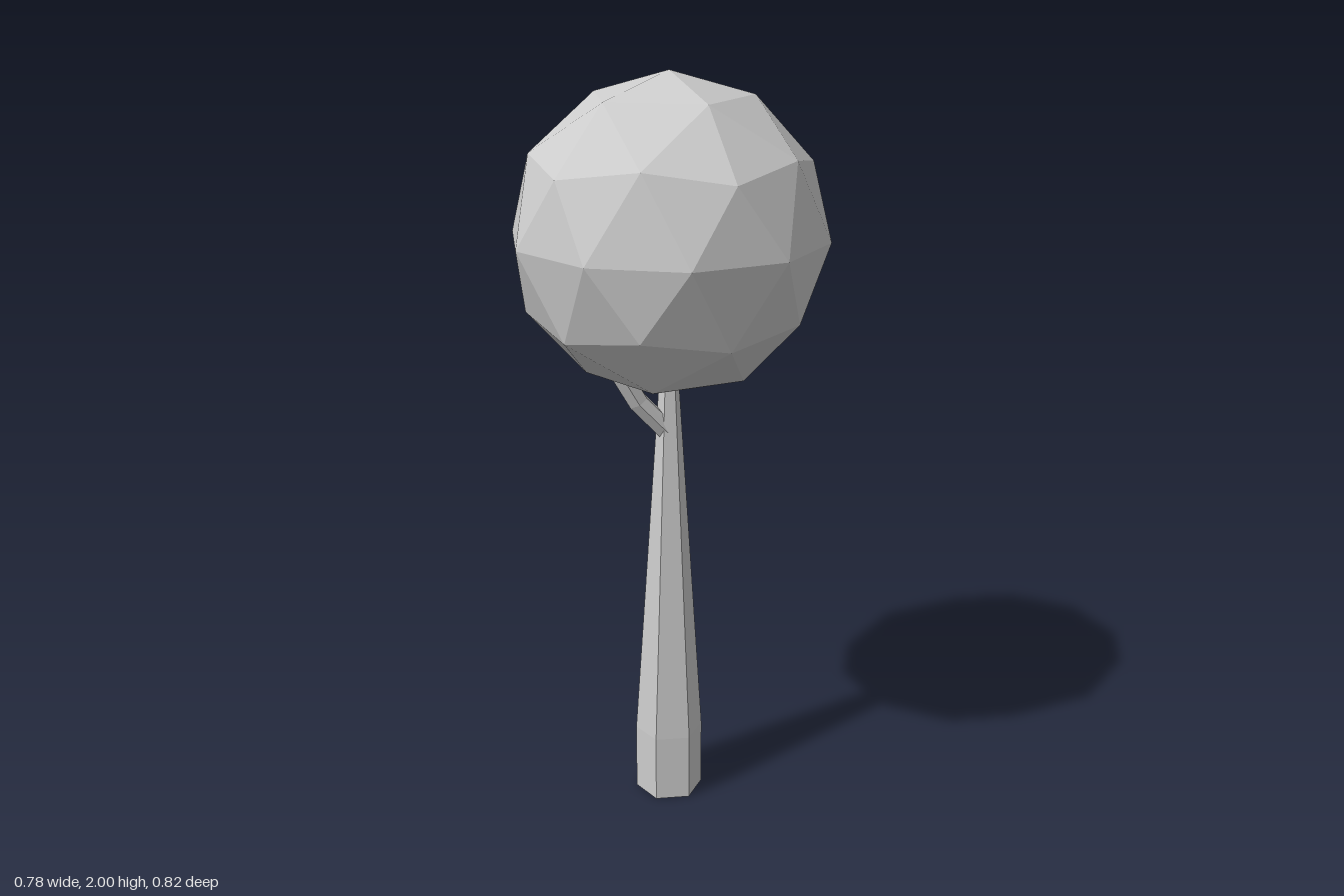
import * as THREE from 'three';

const grey = new THREE.MeshStandardMaterial({ color: 0xcccccc });
grey.name = 'plain grey';

// Faceted mesh: split the faces so each has its own normal
function facet(name, geometry) {
  const g = geometry.index ? geometry.toNonIndexed() : geometry;
  g.computeVertexNormals();
  const mesh = new THREE.Mesh(g, grey);
  mesh.name = name;
  return mesh;
}

// Bent six-sided limb along a few points
function branch(name, radius, points) {
  const path = new THREE.CurvePath();
  const p = points.map((q) => new THREE.Vector3(...q));
  for (let i = 1; i < p.length; i++) path.add(new THREE.LineCurve3(p[i - 1], p[i]));
  return facet(name, new THREE.TubeGeometry(path, p.length - 1, radius, 6, false));
}

export function createModel() {
  const tree = new THREE.Group();
  tree.name = 'tree';

  // Round crown with one corner straight up
  const crown = new THREE.IcosahedronGeometry(0.41, 1);
  crown.rotateZ(-Math.atan(2 / (1 + Math.sqrt(5))));
  crown.translate(0, 1.59, 0);
  tree.add(facet('crown', crown));

  // Hexagonal trunk: straight foot, then a long taper into the crown
  const profile = [[0, 0], [0.093, 0], [0.093, 0.19], [0.028, 1.18], [0.022, 1.27], [0, 1.27]]
    .map(([r, y]) => new THREE.Vector2(r, y));
  tree.add(facet('trunk', new THREE.LatheGeometry(profile, 6, Math.PI / 2)));

  // Two short forks under the crown
  tree.add(branch('rightBranch', 0.029, [[0, 1.07, 0], [-0.08, 1.155, 0.015], [-0.145, 1.27, 0.03]]));
  tree.add(branch('backBranch', 0.022, [[0, 1.145, 0], [0, 1.18, -0.075], [0, 1.27, -0.14]]));

  return tree;
}
